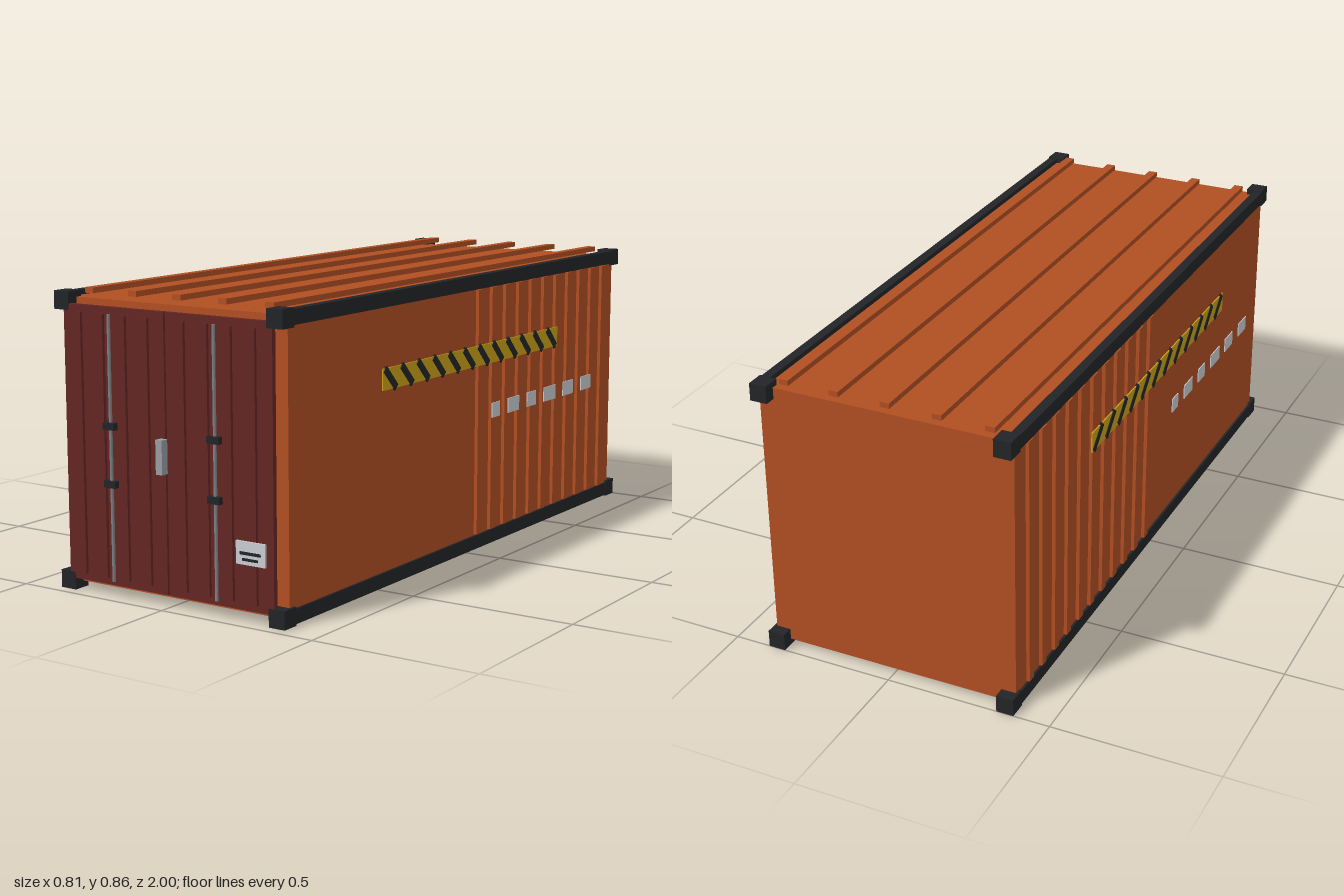
import * as THREE from 'three';

const paint = (color) => new THREE.MeshStandardMaterial({ color, flatShading: true });

export function createModel() {
  const orange = paint(0xb04e22), maroon = paint(0x642624), dark = paint(0x222427);
  const yellow = paint(0xc9a218), pale = paint(0xc8ccd0), steel = paint(0x7c8084);
  const lightSteel = paint(0x999da2), underGrey = paint(0x404247);

  const model = new THREE.Group();
  model.name = 'shippingContainer';

  // Box from centre and size
  const box = (name, mat, [x, y, z], [w, h, d], parent = model) => {
    const mesh = new THREE.Mesh(new THREE.BoxGeometry(w, h, d), mat);
    mesh.name = name;
    mesh.position.set(x, y, z);
    parent.add(mesh);
    return mesh;
  };
  const group = (name) => {
    const g = new THREE.Group();
    g.name = name;
    model.add(g);
    return g;
  };
  const midZ = -0.016;

  // Body shell
  box('body', orange, [0, 0.427, midZ], [0.766, 0.816, 1.9]);

  // Roof ribs, standing just clear of the roof
  const roof = group('roofRibs');
  for (let i = -2; i <= 2; i++) {
    box('roofRib', orange, [i * 0.155, 0.853, -0.022], [0.028, 0.016, 1.87], roof);
  }

  // Cross members under the floor
  for (const s of [-1, 1]) {
    box('floorBeam', underGrey, [0, 0.012, midZ + s * 0.395], [0.652, 0.018, 0.06]);
  }

  for (const s of [-1, 1]) {
    // Long rails and corner castings
    const frame = group(s > 0 ? 'leftFrame' : 'rightFrame');
    for (const y of [0.025, 0.828]) {
      box('rail', dark, [s * 0.376, y, midZ], [0.028, 0.042, 1.93], frame);
      for (const e of [-1, 1]) {
        box('cornerCasting', dark, [s * 0.365, y < 0.4 ? 0.026 : 0.827, midZ + e * 0.957],
          [0.052, 0.052, 0.054], frame);
      }
    }

    // Wall ribs over the rear half
    const ribs = group(s > 0 ? 'leftWallRibs' : 'rightWallRibs');
    for (let i = 0; i < 11; i++) {
      box('wallRib', orange, [s * 0.387, 0.428, -0.056 - i * 0.083], [0.013, 0.756, 0.028], ribs);
    }

    // Hazard band; its place turns about the centre from side to side
    const marks = group(s > 0 ? 'leftMarkings' : 'rightMarkings');
    box('hazardBand', yellow, [s * 0.399, 0.607, s * -0.018], [0.004, 0.062, 1.045], marks);
    for (let i = 0; i < 12; i++) {
      const stripe = box('hazardStripe', dark, [s * 0.4, 0.607, s * (0.465 - i * 0.0875)],
        [0.006, 0.084, 0.022], marks);
      stripe.rotation.x = Math.PI / 4;
    }

    // Row of pale blocks of varied length
    const blocks = [[-0.142, 0.048], [-0.254, 0.07], [-0.371, 0.058],
      [-0.495, 0.08], [-0.623, 0.07], [-0.752, 0.07]];
    for (const [z, d] of blocks) {
      box('paleBlock', pale, [s * 0.4, 0.427, s * z], [0.003, 0.046, d], marks);
    }

    // Door leaf with pressed ribs, locking bar and brackets
    const door = group(s > 0 ? 'leftDoor' : 'rightDoor');
    box('doorPanel', maroon, [s * 0.18, 0.427, 0.96], [0.354, 0.785, 0.014], door);
    for (const dx of [-0.118, -0.039, 0.039, 0.118]) {
      box('doorRib', maroon, [s * (0.18 + dx), 0.427, 0.97], [0.016, 0.744, 0.012], door);
    }
    const bar = new THREE.Mesh(new THREE.CylinderGeometry(0.005, 0.005, 0.75, 10), steel);
    bar.name = 'lockingBar';
    bar.position.set(s * 0.18, 0.427, 0.985);
    door.add(bar);
    for (const y of [0.33, 0.493]) {
      box('barBracket', dark, [s * 0.18, y, 0.988], [0.04, 0.02, 0.016], door);
    }
  }

  // Door handle
  box('doorHandle', lightSteel, [0, 0.427, 0.988], [0.022, 0.096, 0.024]);

  // Data plate with two plain bars
  const plate = group('dataPlate');
  box('plate', pale, [0.294, 0.198, 0.983], [0.096, 0.064, 0.006], plate);
  box('plateBar', dark, [0.294, 0.198, 0.987], [0.068, 0.008, 0.004], plate);
  box('plateBar', dark, [0.294, 0.181, 0.987], [0.05, 0.007, 0.004], plate);

  return model;
}
